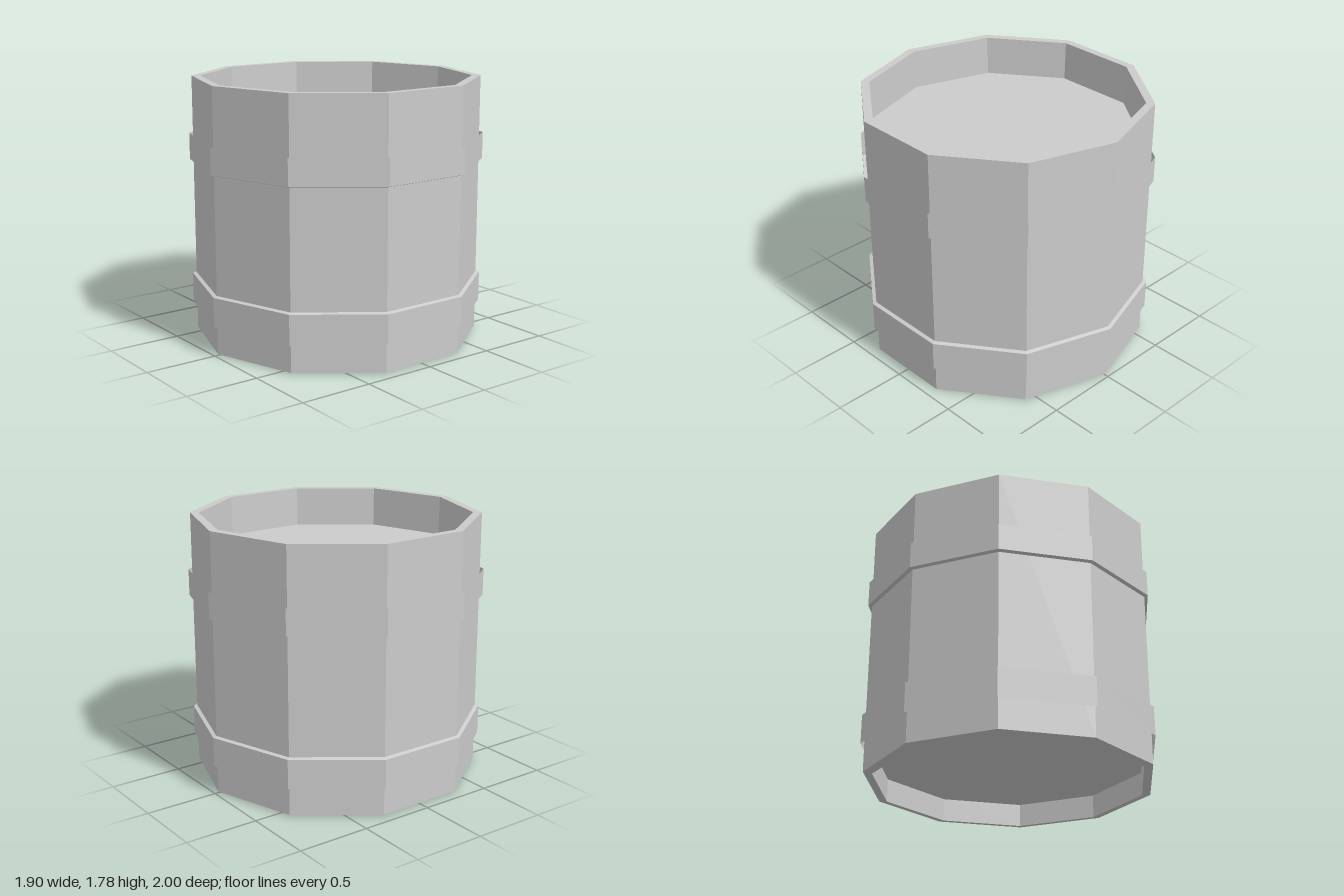
import * as THREE from 'three';

const SIDES = 10;

// Ten-sided ring turned from a [radius, height] profile; a corner points to +z
function turned(name, profile, side = THREE.FrontSide) {
  const points = profile.map(([r, y]) => new THREE.Vector2(r, y));
  const material = new THREE.MeshStandardMaterial({ color: 0xcccccc, flatShading: true, side });
  const mesh = new THREE.Mesh(new THREE.LatheGeometry(points, SIDES), material);
  mesh.name = name;
  return mesh;
}

export function createModel() {
  const barrel = new THREE.Group();
  barrel.name = 'barrel';

  // Wall with a recessed underside and a recessed lid
  barrel.add(turned('barrelBody', [
    [0, 0.16], [0.915, 0.16],
    [0.915, 0], [0.975, 0.008],
    [0.975, 1.78], [0.917, 1.78],
    [0.91, 1.51], [0, 1.51],
  ]));

  // Hoops: each has a narrow sloped lip facing the middle and is open at its other edge
  barrel.add(turned('lowerHoop', [[1, 0.2], [1, 0.4], [0.975, 0.408]], THREE.DoubleSide));
  barrel.add(turned('upperHoop', [[0.975, 1.203], [1, 1.211], [1, 1.39]], THREE.DoubleSide));

  return barrel;
}
